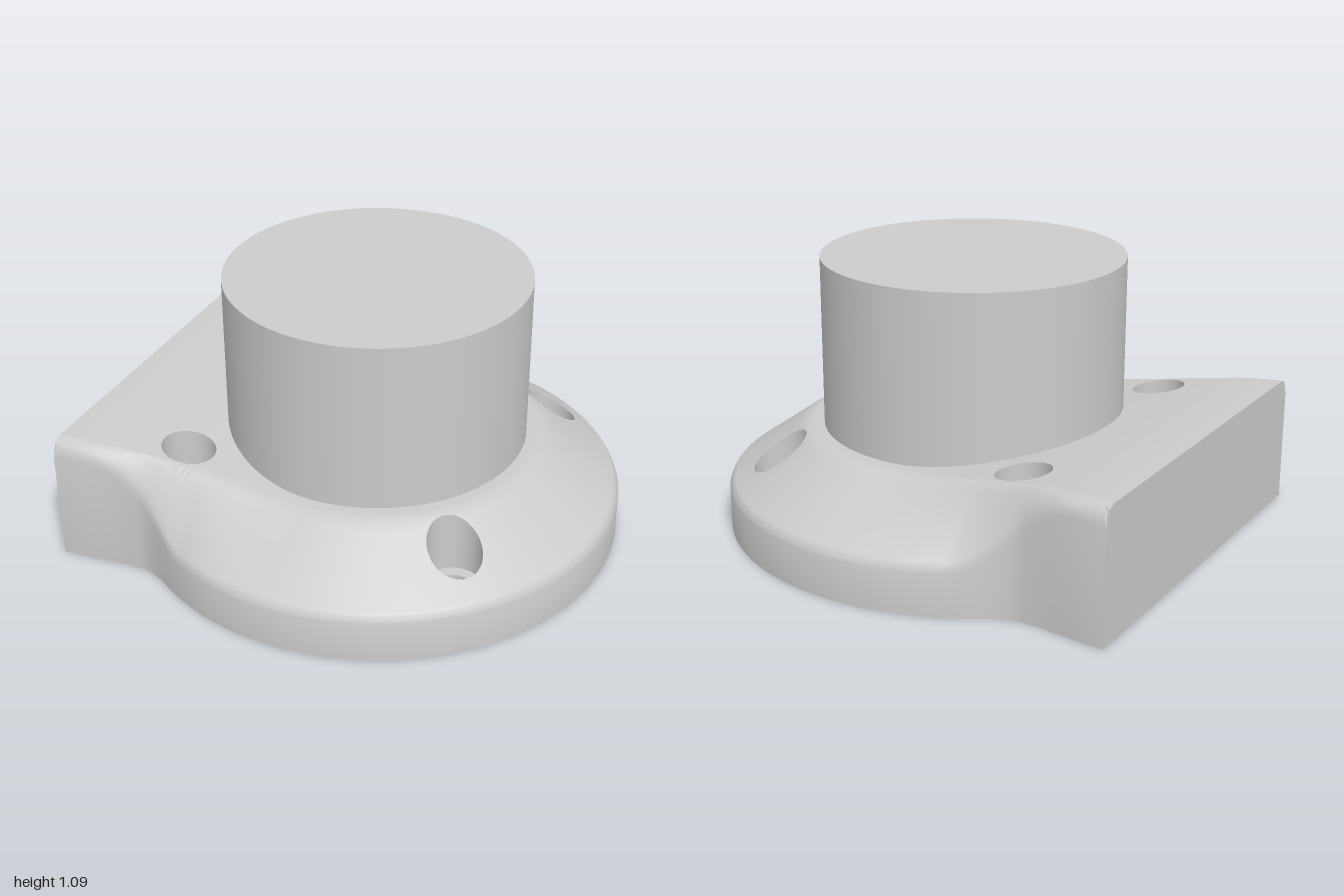
import * as THREE from 'three';
import { toCreasedNormals } from 'three/addons/utils/BufferGeometryUtils.js';

const CX = 0.015;          // x of the boss axis; everything below is relative to it
const R = 0.985, END = -1.015, HOLE_AT = 0.785, BORE = 0.105, DRILL = 0.06, SEAT = 0.15;
const N = 720;             // steps round the base
const { lerp, smoothstep, clamp } = THREE.MathUtils;

// Half width of the footprint: circle, concave neck, then the flat-ended pad
function halfWidth(x) {
  if (x > -0.5) return Math.sqrt(Math.max(0, R * R - x * x));
  if (x < -0.68) return lerp(0.8, 0.772, smoothstep(x, END, -0.68));
  const t = (x + 0.68) / 0.18, z1 = Math.sqrt(R * R - 0.25);
  return lerp(0.772, z1, t * t * (3 - 2 * t)) + 0.18 * (0.5 / z1) * (t * t * t - t * t);
}

// Height of the upper surface: rising plateau, conical skirt, rounded pad edges
function height(x, z) {
  const left = x < 0;
  const top = 0.405 + 0.115 * (1 - smoothstep(x, END, 0));
  const d = left ? Math.abs(z) : Math.hypot(x, z);
  const inner = left ? 0.645 + 0.1 * (x / END) ** 2 : 0.645;
  const outer = left ? halfWidth(x) : R;
  const u = clamp((d - inner) / (outer - inner), 0, 1);
  const pad = 1 - smoothstep(x, -0.88, -0.42);
  const rim = lerp(0.185, 0.45, pad);
  const a = 0.15;
  const cone = (u < a ? u * u / (2 * a) : u - a / 2) / (1 - a / 2);
  const round = 1 - Math.sqrt(1 - u * u);
  const lip = 0.02 * (1 - pad) * Math.max(0, (u - 0.94) / 0.06) ** 2;
  return lerp(top, rim, lerp(cone, round, pad)) - lip;
}

// Distance from the axis to the footprint edge along a direction
function edgeRadius(angle) {
  let lo = 0.9, hi = 1.4;
  for (let k = 0; k < 40; k++) {
    const r = (lo + hi) / 2, x = r * Math.cos(angle), z = r * Math.sin(angle);
    if (x > END && Math.abs(z) < halfWidth(x)) lo = r; else hi = r;
  }
  return lo;
}

function buildBase(material) {
  const positions = [];
  const quad = (a, b, c, d) => positions.push(...a, ...b, ...c, ...a, ...c, ...d);
  const onTop = (x, z) => [x, height(x, z), z];

  // Directions, with two moved onto the pad's corners
  const angles = Array.from({ length: N }, (_, i) => (i / N) * Math.PI * 2);
  const corner = Math.atan2(0.8, END);
  const ci = Math.round(corner / (Math.PI * 2) * N);
  angles[ci] = corner;
  angles[N - ci] = Math.PI * 2 - corner;

  // Rings of the upper surface, then the foot of the outer wall
  const edges = angles.map(edgeRadius);
  const radii = [];
  for (let k = 0; k < 4; k++) radii.push(0.58 + 0.02 * k);
  for (let k = 0; k <= 10; k++) radii.push(0.66 + 0.025 * k);
  const first = 4, last = 14, outerSteps = 20;
  const columns = angles.map((a, i) => {
    const rs = [...radii];
    for (let k = 1; k <= outerSteps; k++) rs.push(lerp(0.91, edges[i], k / outerSteps));
    const col = rs.map(r => onTop(r * Math.cos(a), r * Math.sin(a)));
    const rim = col[col.length - 1];
    col.push([rim[0], 0, rim[2]]);
    return col;
  });

  // Skin, leaving a patch open round each screw hole
  const centres = [1, 3, 5, 7].map(k => k * N / 8), half = 20;
  for (let i = 0; i < N; i++) {
    const n = (i + 1) % N;
    const inPatch = centres.some(c => i >= c - half && i < c + half);
    for (let j = 0; j < columns[0].length - 1; j++) {
      if (inPatch && j >= first && j < last) continue;
      quad(columns[i][j], columns[n][j], columns[n][j + 1], columns[i][j + 1]);
    }
  }

  // Counterbored screw holes: drill, seat, bore wall, then the patch around it
  const holes = centres.map(c => {
    const a = c / N * Math.PI * 2;
    const hx = HOLE_AT * Math.cos(a), hz = HOLE_AT * Math.sin(a);
    const loop = [];
    for (let i = c - half; i <= c + half; i++)
      for (let j = first; j <= last; j++)
        if (i === c - half || i === c + half || j === first || j === last) {
          const p = columns[i][j];
          loop.push({ p, phi: Math.atan2(p[2] - hz, p[0] - hx) });
        }
    loop.sort((s, t) => s.phi - t.phi);
    const strips = loop.map(({ p, phi }) => {
      const at = r => [hx + r * Math.cos(phi), hz + r * Math.sin(phi)];
      const [dx, dz] = at(DRILL), [bx, bz] = at(BORE);
      const strip = [[dx, 0, dz], [dx, SEAT, dz], [bx, SEAT, bz]];
      for (let k = 0; k < 3; k++) strip.push(onTop(lerp(bx, p[0], k / 3), lerp(bz, p[2], k / 3)));
      strip.push(p);
      return strip;
    });
    strips.forEach((s, i) => {
      const t = strips[(i + 1) % strips.length];
      for (let k = 0; k < s.length - 1; k++) quad(s[k], t[k], t[k + 1], s[k + 1]);
    });
    return [hx, hz];
  });

  const geometry = new THREE.BufferGeometry();
  geometry.setAttribute('position', new THREE.Float32BufferAttribute(positions, 3));
  const base = new THREE.Mesh(toCreasedNormals(geometry, 0.6), material);
  base.name = 'flangedBase';

  // Flat underside with the drilled holes
  const shape = new THREE.Shape(columns.map(c => new THREE.Vector2(c[c.length - 1][0], c[c.length - 1][2])));
  for (const [x, z] of holes) shape.holes.push(new THREE.Path().absarc(x, z, DRILL, 0, Math.PI * 2, true));
  const underside = new THREE.Mesh(new THREE.ShapeGeometry(shape, 32).rotateX(Math.PI / 2), material);
  underside.name = 'underside';
  return [base, underside];
}

export function createModel() {
  const group = new THREE.Group();
  group.name = 'flangedMount';
  const material = new THREE.MeshStandardMaterial({ color: 0xcccccc, side: THREE.DoubleSide });

  // Solid round boss standing on the base
  const boss = new THREE.Mesh(new THREE.CylinderGeometry(0.6, 0.6, 0.73, 96), material);
  boss.name = 'boss';
  boss.position.y = 1.085 - 0.73 / 2;

  group.add(...buildBase(material), boss);
  for (const part of group.children) part.position.x = CX;
  return group;
}
